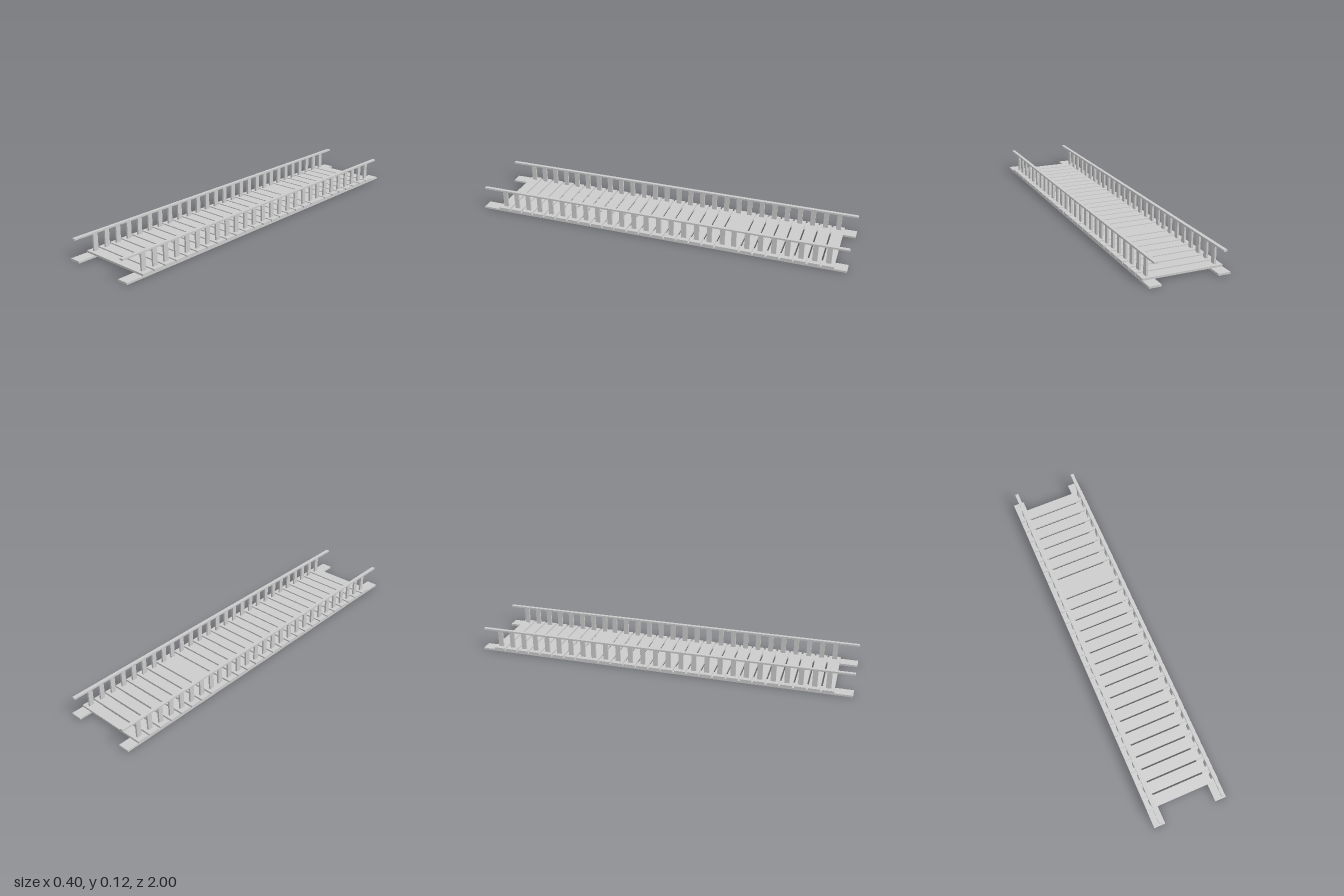
import * as THREE from 'three';

export function createModel() {
  const bridge = new THREE.Group();
  bridge.name = 'footbridge';
  const material = new THREE.MeshStandardMaterial({ color: 0xcccccc, flatShading: true });

  // Box given by its size, its centre in x and z, and its underside in y
  function addBox(name, [w, h, d], x, bottom, z) {
    const mesh = new THREE.Mesh(new THREE.BoxGeometry(w, h, d), material);
    mesh.name = name;
    mesh.position.set(x, bottom + h / 2, z);
    bridge.add(mesh);
  }

  // Long base beams and handrails on both sides
  for (const [side, label] of [[1, 'left'], [-1, 'right']]) {
    addBox(label + 'Beam', [0.06, 0.01, 2], side * 0.17, 0, 0);
    addBox(label + 'Handrail', [0.018, 0.009, 2], side * 0.17, 0.109, 0);
  }

  // Deck planks, each with a pair of railing posts; one pair of planks touches
  const plankCount = 27, plankDepth = 0.06, gap = 0.0089, closedGap = 7;
  let z = -0.905;
  for (let i = 0; i < plankCount; i++) {
    addBox('deckPlank', [0.4, 0.01, plankDepth], 0, 0.01, z);
    addBox('leftPost', [0.01, 0.089, 0.026], 0.17, 0.02, z);
    addBox('rightPost', [0.01, 0.089, 0.026], -0.17, 0.02, z);
    z += plankDepth + (i === closedGap ? 0 : gap);
  }

  return bridge;
}
